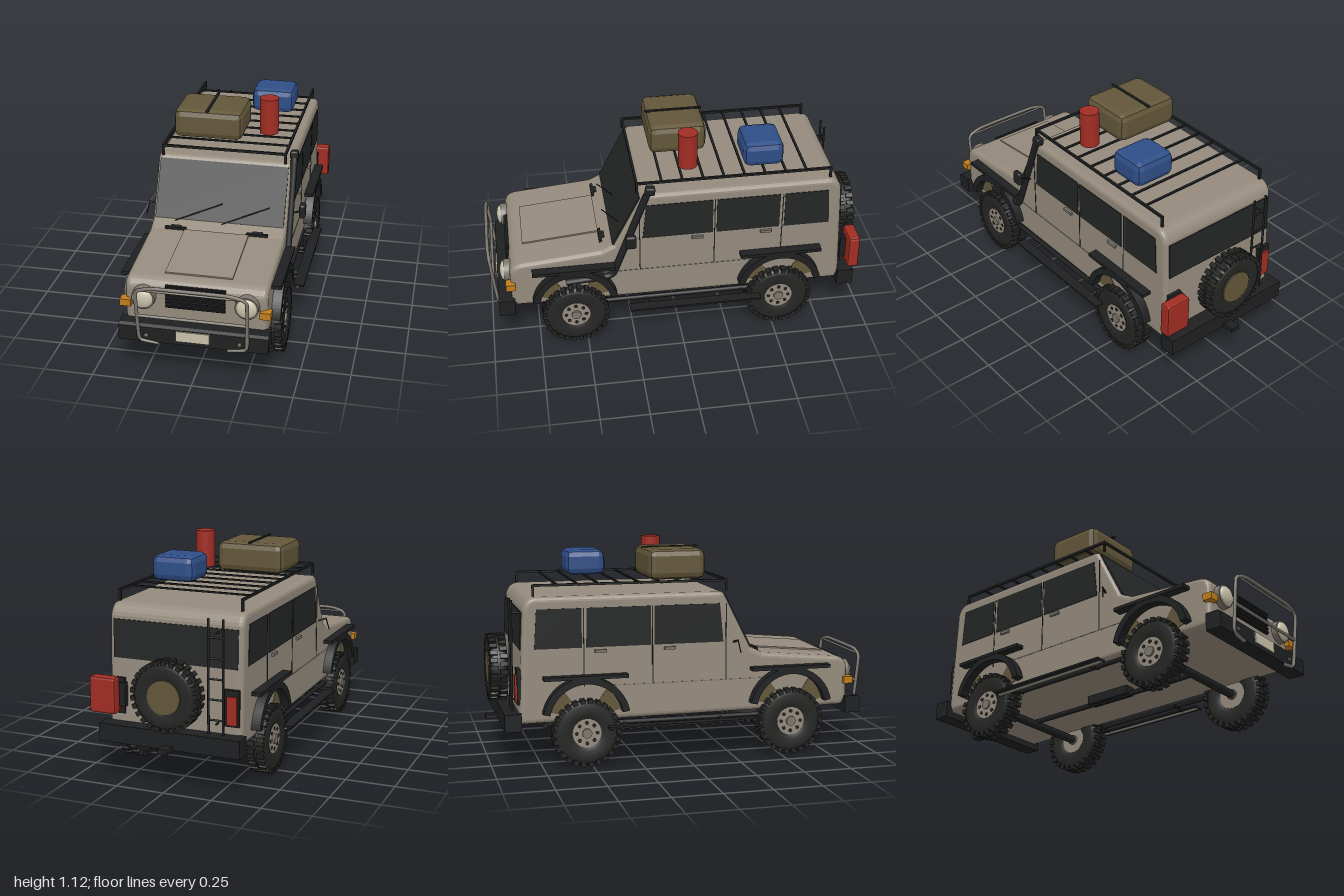
import * as THREE from 'three';
import { mergeGeometries } from 'three/addons/utils/BufferGeometryUtils.js';
import { RoundedBoxGeometry } from 'three/addons/geometries/RoundedBoxGeometry.js';

const paint = (name, color) => {
  const m = new THREE.MeshStandardMaterial({ color });
  m.name = name;
  return m;
};
const body = paint('body paint', 0x958b7d), black = paint('black trim', 0x1f2021);
const glass = paint('dark glass', 0x242525), rubber = paint('tyre rubber', 0x252524);
const red = paint('red', 0xa12d23), blue = paint('blue', 0x2f4e87);
const olive = paint('olive', 0x63573a), amber = paint('amber', 0xc07d1c);
const cream = paint('cream', 0xc8c1aa), steel = paint('steel', 0x7c776e);

export function createModel() {
  const car = new THREE.Group();
  car.name = 'offRoadCar';

  const add = (name, geo, mat, x = 0, y = 0, z = 0, parent = car) => {
    const m = new THREE.Mesh(geo, mat);
    m.name = name;
    m.position.set(x, y, z);
    parent.add(m);
    return m;
  };
  const box = (name, mat, w, h, d, x, y, z, parent) =>
    add(name, new THREE.BoxGeometry(w, h, d), mat, x, y, z, parent);
  // Straight round bar between two points
  const rod = (name, mat, a, b, r = 0.006) => {
    const p = new THREE.Vector3(...a), q = new THREE.Vector3(...b);
    const m = add(name, new THREE.CylinderGeometry(r, r, p.distanceTo(q), 10), mat);
    m.position.copy(p).lerp(q, 0.5);
    m.quaternion.setFromUnitVectors(new THREE.Vector3(0, 1, 0), q.sub(p).normalize());
    return m;
  };
  const tube = (name, mat, pts, r, tension = 0.15) => {
    const c = new THREE.CatmullRomCurve3(pts.map(p => new THREE.Vector3(...p)), false, 'catmullrom', tension);
    return add(name, new THREE.TubeGeometry(c, 60, r, 10), mat);
  };
  // Extrudes a (z, y) outline across x, centred on the given x
  const slab = (name, shape, mat, width, x, opts = {}) => {
    const g = new THREE.ExtrudeGeometry(shape, { depth: width, bevelEnabled: false, curveSegments: 20, ...opts });
    g.translate(0, 0, -width / 2).rotateY(-Math.PI / 2);
    return add(name, g, mat, x);
  };
  const poly = pts => new THREE.Shape(pts.map(p => new THREE.Vector2(...p)));
  const sector = (z, y, r0, r1, a0, a1) => {
    const s = new THREE.Shape();
    s.absarc(z, y, r1, a0, a1, false);
    s.absarc(z, y, r0, a1, a0, true);
    return s;
  };

  // Body shell
  const hull = new THREE.Shape();
  hull.moveTo(0.86, 0.24);
  hull.lineTo(0.885, 0.28);
  hull.lineTo(0.885, 0.44);
  hull.quadraticCurveTo(0.885, 0.49, 0.83, 0.503);
  hull.lineTo(0.41, 0.542);
  hull.lineTo(0.345, 0.575);
  hull.lineTo(0.205, 0.852);
  hull.quadraticCurveTo(0.195, 0.87, 0.17, 0.87);
  hull.lineTo(-0.77, 0.87);
  hull.quadraticCurveTo(-0.825, 0.87, -0.84, 0.81);
  hull.lineTo(-0.865, 0.27);
  hull.lineTo(-0.85, 0.23);
  slab('bodyShell', hull, body, 0.65, 0, {
    curveSegments: 6, bevelEnabled: true, bevelThickness: 0.025, bevelSize: 0.025, bevelOffset: -0.025, bevelSegments: 4,
  });
  const hood = box('hoodPanel', body, 0.335, 0.012, 0.4, 0, 0.525, 0.61);
  hood.rotation.x = 0.093;

  // Windscreen, wipers and cowl hinges
  const screen = box('windscreen', glass, 0.672, 0.31, 0.009, 0, 0.712, 0.276);
  screen.rotation.x = -0.477;
  for (const x of [-0.225, 0.02])
    rod('wiper', black, [x, 0.578, 0.375], [x + 0.24, 0.665, 0.314], 0.003);
  for (const x of [-0.215, 0.21]) {
    box('cowlHinge', black, 0.11, 0.014, 0.015, x, 0.55, 0.405);
    box('hingeBlock', black, 0.055, 0.02, 0.03, x, 0.547, 0.39);
  }

  // Side windows, door seams, handles, flares and steps
  for (const s of [-1, 1]) {
    slab('frontSideWindow', poly([[0.195, 0.61], [-0.17, 0.61], [-0.17, 0.81], [0.175, 0.81]]), glass, 0.006, s * 0.35);
    slab('middleSideWindow', poly([[-0.19, 0.61], [-0.52, 0.61], [-0.52, 0.81], [-0.19, 0.81]]), glass, 0.006, s * 0.35);
    slab('rearSideWindow', poly([[-0.545, 0.61], [-0.785, 0.61], [-0.772, 0.81], [-0.545, 0.81]]), glass, 0.006, s * 0.35);
    for (const z of [0.21, -0.18, -0.535]) box('doorSeam', black, 0.004, 0.4, 0.005, s * 0.35, 0.61, z);
    box('waistCrease', steel, 0.004, 0.004, 0.85, s * 0.35, 0.41, 0);
    for (const z of [-0.09, -0.45]) box('doorHandle', steel, 0.016, 0.014, 0.06, s * 0.355, 0.59, z);

    for (const z of [0.557, -0.53]) {
      slab('wheelFlare', sector(z, 0.24, 0.19, 0.225, 0.2, Math.PI - 0.2), black, 0.05, s * 0.372);
      box('flareShelf', black, 0.05, 0.018, 0.43, s * 0.374, 0.463, z);
      for (const a of [0.25, Math.PI - 0.95])
        slab('mudPatch', sector(z, 0.24, 0.12, 0.188, a, a + 0.7), olive, 0.006, s * 0.35);
    }
    box('sideStep', black, 0.055, 0.01, 0.7, s * 0.412, 0.208, -0.075);
    rod('sideStepRail', steel, [s * 0.405, 0.2, 0.27], [s * 0.405, 0.2, -0.42], 0.009);
    rod('sillRail', black, [s * 0.34, 0.215, 0.4], [s * 0.34, 0.215, -0.46], 0.012);
    for (const z of [0.18, -0.33]) rod('stepBracket', black, [s * 0.32, 0.215, z], [s * 0.41, 0.205, z], 0.008);
  }

  // Wheel: axis along y, outer face towards +y
  const makeWheel = (name, capMat) => {
    const g = new THREE.Group();
    g.name = name;
    const profile = [[0.07, -0.034], [0.095, -0.045], [0.14, -0.046], [0.16, -0.036], [0.164, -0.02],
      [0.164, 0.02], [0.16, 0.036], [0.14, 0.046], [0.095, 0.045], [0.07, 0.034]];
    add('tyre', new THREE.LatheGeometry(profile.map(p => new THREE.Vector2(...p)), 40), rubber, 0, 0, 0, g);
    const knobs = [];
    for (let i = 0; i < 52; i++) {
      const k = new THREE.BoxGeometry(0.024, 0.038, 0.024);
      k.translate(0.163, i % 2 ? 0.025 : -0.025, 0).rotateY(i * Math.PI / 26);
      knobs.push(k);
    }
    add('treadBlocks', mergeGeometries(knobs), rubber, 0, 0, 0, g);
    add('rim', new THREE.CylinderGeometry(0.074, 0.074, 0.074, 32), capMat || body, 0, 0, 0, g);
    if (capMat) {
      add('spareCover', new THREE.CylinderGeometry(0.085, 0.085, 0.094, 32), capMat, 0, 0, 0, g);
    } else {
      add('hub', new THREE.CylinderGeometry(0.025, 0.028, 0.094, 20), steel, 0, 0, 0, g);
      for (let i = 0; i < 8; i++) {
        const a = i * Math.PI / 4;
        add('rimHole', new THREE.CylinderGeometry(0.01, 0.01, 0.004, 10), black, 0.053 * Math.cos(a), 0.037, 0.053 * Math.sin(a), g);
      }
    }
    car.add(g);
    return g;
  };
  for (const z of [0.557, -0.53]) {
    for (const s of [-1, 1]) {
      const w = makeWheel('wheel');
      w.position.set(s * 0.351, 0.178, z);
      w.rotation.z = -s * Math.PI / 2;
    }
    rod('axle', black, [-0.31, 0.178, z], [0.31, 0.178, z], 0.023);
  }
  const spare = makeWheel('spareWheel', olive);
  spare.position.set(0, 0.47, -0.938);
  spare.rotation.x = -Math.PI / 2;
  rod('spareMount', black, [0, 0.47, -0.84], [0, 0.47, -0.92], 0.04);
  // Underside
  rod('propShaft', black, [0, 0.195, 0.55], [0, 0.195, -0.53], 0.014);
  box('gearHousing', black, 0.06, 0.045, 0.26, 0, 0.212, 0);

  // Front end
  const bumper = poly([[0.955, 0.2], [0.955, 0.28], [0.94, 0.29], [0.87, 0.29], [0.87, 0.2]]);
  slab('frontBumper', bumper, black, 0.74, 0);
  box('frontPlate', cream, 0.165, 0.055, 0.008, 0, 0.248, 0.957);
  box('grille', black, 0.295, 0.12, 0.012, 0, 0.422, 0.885);
  for (let i = 0; i < 6; i++) box('grilleBar', black, 0.295, 0.008, 0.012, 0, 0.372 + i * 0.02, 0.893);
  for (const s of [-1, 1]) {
    const bezel = add('headlightBezel', new THREE.CylinderGeometry(0.058, 0.06, 0.04, 32), steel, s * 0.255, 0.412, 0.895);
    bezel.rotation.x = Math.PI / 2;
    const lens = add('headlight', new THREE.SphereGeometry(0.052, 28, 10, 0, Math.PI * 2, 0, Math.PI / 2), cream, s * 0.255, 0.412, 0.913);
    lens.rotation.x = Math.PI / 2;
    lens.scale.y = 0.45;
    box('turnSignal', amber, 0.054, 0.036, 0.05, s * 0.345, 0.377, 0.885);
    const bolt = add('bumperBolt', new THREE.CylinderGeometry(0.01, 0.01, 0.008, 12), steel, s * 0.23, 0.238, 0.957);
    bolt.rotation.x = Math.PI / 2;
  }
  tube('bullBarHoop', steel, [[-0.17, 0.195, 0.95], [-0.262, 0.212, 0.957], [-0.268, 0.3, 0.967], [-0.268, 0.485, 0.985],
    [-0.18, 0.515, 0.991], [0.18, 0.515, 0.991], [0.268, 0.485, 0.985], [0.268, 0.3, 0.967], [0.262, 0.212, 0.957], [0.17, 0.195, 0.95]], 0.009, 0.2);
  rod('bullBarCrossTube', steel, [-0.268, 0.352, 0.973], [0.268, 0.352, 0.973], 0.008);
  rod('bullBarUpperTube', steel, [-0.235, 0.497, 0.985], [0.235, 0.497, 0.985], 0.006);

  // Snorkel on the left pillar
  tube('snorkelPipe', black, [[0.36, 0.375, 0.6], [0.36, 0.39, 0.4], [0.36, 0.415, 0.35], [0.358, 0.86, 0.18], [0.358, 0.89, 0.165]], 0.018);
  const head = add('snorkelHead', new RoundedBoxGeometry(0.042, 0.045, 0.05, 2, 0.01), black, 0.357, 0.903, 0.155);
  head.rotation.x = -0.1;
  // Mirrors
  add('leftMirror', new RoundedBoxGeometry(0.032, 0.075, 0.055, 2, 0.012), black, 0.421, 0.643, 0.263);
  rod('leftMirrorArm', black, [0.345, 0.61, 0.25], [0.415, 0.64, 0.263], 0.005);
  rod('rightMirrorArm', black, [-0.345, 0.605, 0.25], [-0.39, 0.62, 0.263], 0.005);
  rod('rightMirrorStay', black, [-0.388, 0.62, 0.263], [-0.402, 0.555, 0.275], 0.003);

  // Rear end
  const rearGlass = box('rearWindow', glass, 0.65, 0.19, 0.009, 0, 0.7, -0.846);
  rearGlass.rotation.x = 0.046;
  box('rearBumper', black, 0.74, 0.09, 0.085, 0, 0.245, -0.898);
  box('towHitch', black, 0.05, 0.024, 0.14, 0, 0.208, -0.93);
  for (const s of [-1, 1]) {
    box('lampBacking', black, 0.075, 0.18, 0.02, s * 0.3, 0.42, -0.862);
    box('tailLamp', red, 0.05, 0.14, 0.02, s * 0.305, 0.41, -0.872);
  }
  for (const x of [-0.19, -0.265]) rod('ladderRail', black, [x, 0.85, -0.885], [x, 0.28, -0.89], 0.006);
  for (let i = 0; i < 5; i++) rod('ladderRung', black, [-0.19, 0.36 + i * 0.1, -0.888], [-0.265, 0.36 + i * 0.1, -0.888], 0.005);
  for (const y of [0.34, 0.78]) rod('ladderMount', black, [-0.228, y, -0.84], [-0.228, y, -0.888], 0.005);
  const flat = (w, h, d, r) => {
    const g = new RoundedBoxGeometry(w, h, d, 1, r);
    g.computeVertexNormals();
    return g;
  };
  add('fuelCan', flat(0.138, 0.182, 0.06, 0.012), red, 0.344, 0.434, -0.92);
  box('fuelCanBracket', black, 0.1, 0.12, 0.03, 0.3, 0.43, -0.875);

  // Roof rack
  for (const s of [-1, 1]) {
    box('rackRail', black, 0.012, 0.012, 1.01, s * 0.32, 0.926, -0.282);
    for (const z of [0.218, -0.782]) box('rackPost', black, 0.012, 0.055, 0.012, s * 0.32, 0.9, z);
  }
  box('rackFrontBar', black, 0.65, 0.012, 0.012, 0, 0.926, 0.218);
  for (let i = 0; i < 8; i++) box('rackSlat', black, 0.64, 0.008, 0.012, 0, 0.922, 0.09 - i * 0.1065);

  // Luggage
  add('oliveCase', flat(0.363, 0.155, 0.298, 0.034), olive, -0.108, 1.008, -0.03);
  box('caseStrap', black, 0.014, 0.008, 0.3, -0.11, 1.087, -0.03);
  add('blueBag', flat(0.23, 0.132, 0.207, 0.034), blue, 0.155, 0.996, -0.445);
  add('redCanister', new THREE.CylinderGeometry(0.05, 0.05, 0.192, 24), red, 0.187, 1.026, -0.062);

  return car;
}
